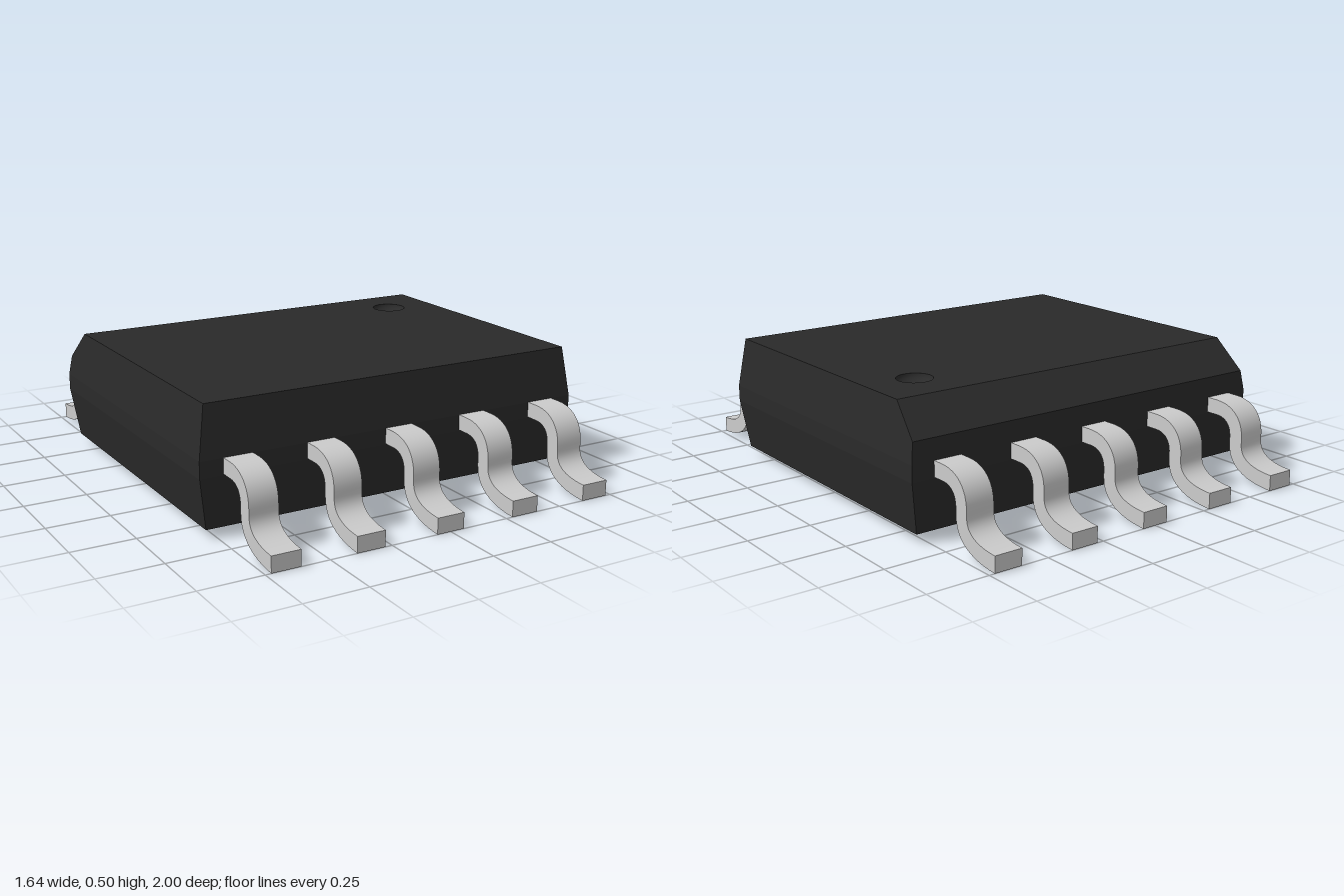
import * as THREE from 'three';
import { toCreasedNormals } from 'three/addons/utils/BufferGeometryUtils.js';

const bodyMat = new THREE.MeshStandardMaterial({ color: 0x2a2a2a });
const dimpleMat = new THREE.MeshStandardMaterial({ color: 0x2a2a2a, side: THREE.DoubleSide });
const metalMat = new THREE.MeshStandardMaterial({ color: 0xcccccc });

const DIMPLE = { x: 0.58, z: -0.315, r: 0.07, depth: 0.04 };
const TOP = { y: 0.5, x: 0.79, front: 0.63, back: -0.52 };

function addMesh(parent, name, geometry, material) {
  const mesh = new THREE.Mesh(geometry, material);
  mesh.name = name;
  parent.add(mesh);
  return mesh;
}

// Tapered case walls and underside, lofted through rectangular sections
function caseGeometry() {
  // y, half width, front z, back z
  const sections = [
    [0.035, 0.79, 0.63, -0.63],
    [0.235, 0.82, 0.653, -0.653],
    [0.3, 0.82, 0.653, -0.653],
    [0.38, 0.808, 0.644, -0.642],
    [TOP.y, TOP.x, TOP.front, TOP.back],
  ];
  const rings = sections.map(([y, x, f, b]) => [[-x, y, f], [x, y, f], [x, y, b], [-x, y, b]]);
  const pos = [];
  const quad = (a, b, c, d) => pos.push(...a, ...b, ...c, ...a, ...c, ...d);
  for (let i = 0; i < rings.length - 1; i++) {
    for (let j = 0; j < 4; j++) {
      const k = (j + 1) % 4;
      quad(rings[i][j], rings[i][k], rings[i + 1][k], rings[i + 1][j]);
    }
  }
  quad(...[...rings[0]].reverse());
  const g = new THREE.BufferGeometry();
  g.setAttribute('position', new THREE.Float32BufferAttribute(pos, 3));
  g.computeVertexNormals();
  return g;
}

// Flat top with a round opening for the dimple
function topGeometry() {
  const s = new THREE.Shape();
  s.moveTo(-TOP.x, -TOP.front);
  s.lineTo(TOP.x, -TOP.front);
  s.lineTo(TOP.x, -TOP.back);
  s.lineTo(-TOP.x, -TOP.back);
  s.closePath();
  const hole = new THREE.Path();
  hole.absarc(DIMPLE.x, -DIMPLE.z, DIMPLE.r, 0, Math.PI * 2, true);
  s.holes.push(hole);
  return new THREE.ShapeGeometry(s, 24).rotateX(-Math.PI / 2).translate(0, TOP.y, 0);
}

// Shallow round bowl
function dimpleGeometry() {
  const pts = [];
  for (let i = 0; i <= 8; i++) {
    const a = (i / 8) * Math.PI / 2;
    pts.push(new THREE.Vector2(DIMPLE.r * Math.sin(a), -DIMPLE.depth * Math.cos(a)));
  }
  return new THREE.LatheGeometry(pts, 48).translate(DIMPLE.x, TOP.y, DIMPLE.z);
}

// S-bent lead: side profile extruded across its width
function leadGeometry(width) {
  const s = new THREE.Shape();
  s.moveTo(0.62, 0.24);
  s.lineTo(0.705, 0.24);
  s.bezierCurveTo(0.755, 0.24, 0.78, 0.21, 0.78, 0.165);
  s.lineTo(0.78, 0.14);
  s.bezierCurveTo(0.78, 0.05, 0.86, 0.006, 1, 0);
  s.lineTo(1, 0.063);
  s.bezierCurveTo(0.9, 0.066, 0.842, 0.09, 0.842, 0.15);
  s.lineTo(0.842, 0.17);
  s.bezierCurveTo(0.842, 0.25, 0.79, 0.301, 0.7, 0.301);
  s.lineTo(0.62, 0.301);
  s.closePath();
  const g = new THREE.ExtrudeGeometry(s, { depth: width, bevelEnabled: false, curveSegments: 12 });
  g.rotateY(-Math.PI / 2).translate(width / 2, 0, 0);
  return toCreasedNormals(g, Math.PI / 5);
}

export function createModel() {
  const model = new THREE.Group();
  model.name = 'chipPackage';

  const body = new THREE.Group();
  body.name = 'body';
  model.add(body);
  addMesh(body, 'caseWalls', caseGeometry(), bodyMat);
  addMesh(body, 'caseTop', topGeometry(), bodyMat);
  addMesh(body, 'pinOneDimple', dimpleGeometry(), dimpleMat);

  // Exposed pad on the underside
  const pad = addMesh(model, 'thermalPad', new THREE.BoxGeometry(1.07, 0.02, 0.7), metalMat);
  pad.position.set(0, 0.042, -0.03);

  // Five leads along the front and five along the back
  const lead = leadGeometry(0.115);
  for (const side of ['front', 'back']) {
    const row = new THREE.Group();
    row.name = side + 'Leads';
    if (side === 'back') row.rotation.y = Math.PI;
    for (let i = -2; i <= 2; i++) {
      addMesh(row, side + 'Lead', lead, metalMat).position.x = i * 0.335;
    }
    model.add(row);
  }
  return model;
}
